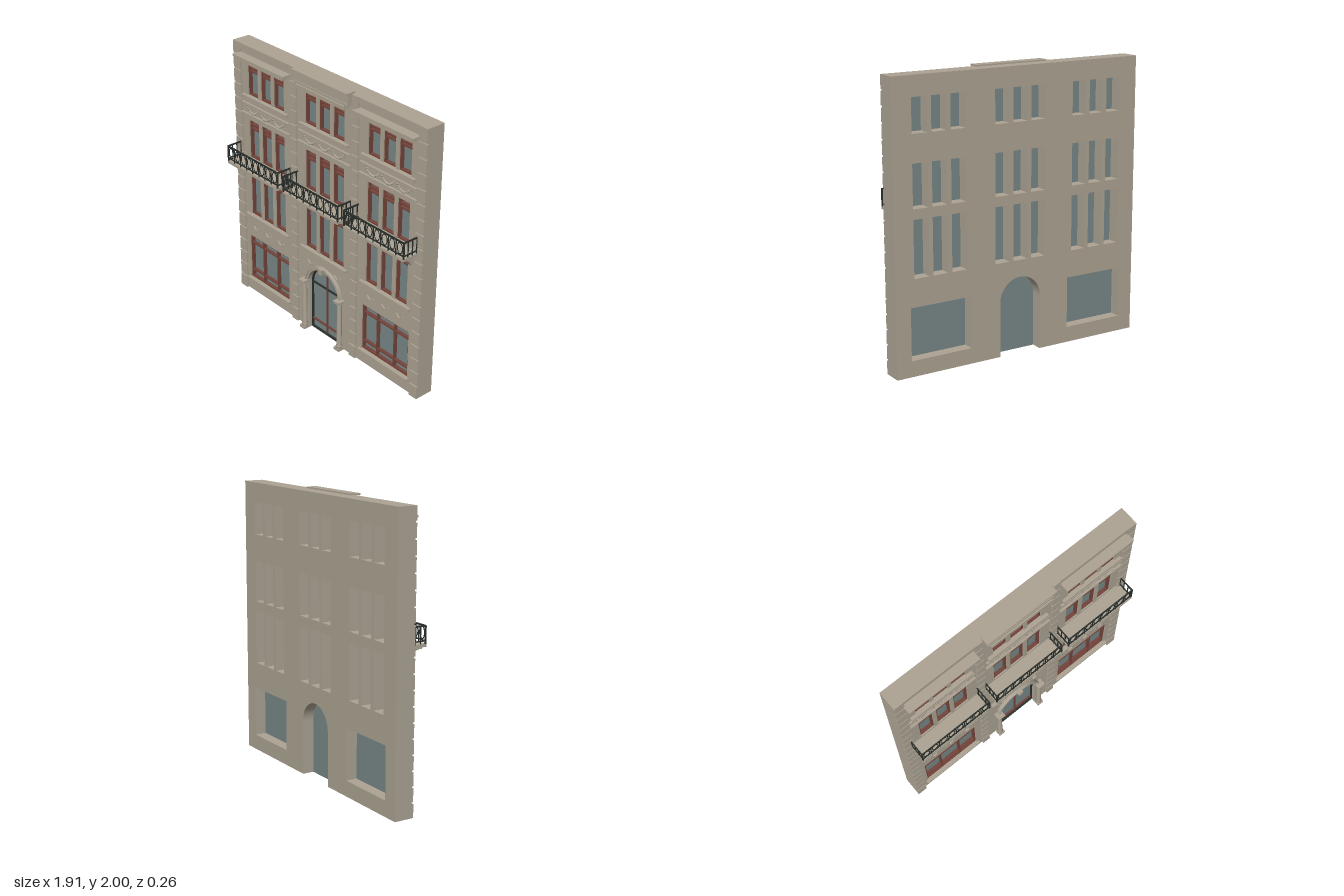
import * as THREE from 'three';

const material = (name, color) => {
  const m = new THREE.MeshStandardMaterial({ color });
  m.name = name;
  return m;
};

export function createModel() {
  const stone = material('stone', 0xaca393);
  const glass = material('glass', 0x788787);
  const wood = material('redBrownFrame', 0x74443a);
  const iron = material('iron', 0x2b302c);
  const FRONT = -0.004, BACK = -0.13;
  const BAYS = [-0.62, 0, 0.62];
  const STEP = 0.142; // spacing of windows, swags and chevrons
  const model = new THREE.Group();
  model.name = 'facade';

  const group = (name, x = 0, parent = model) => {
    const g = new THREE.Group();
    g.name = name;
    g.position.x = x;
    parent.add(g);
    return g;
  };
  const add = (parent, name, geo, mat, x = 0, y = 0, z = 0) => {
    const m = new THREE.Mesh(geo, mat);
    m.name = name;
    m.position.set(x, y, z);
    parent.add(m);
    return m;
  };
  // Box given by its limits on each axis
  const box = (parent, name, mat, x0, x1, y0, y1, z0, z1) =>
    add(parent, name, new THREE.BoxGeometry(x1 - x0, y1 - y0, z1 - z0), mat,
      (x0 + x1) / 2, (y0 + y1) / 2, (z0 + z1) / 2);

  // Every rectangular opening: centre, half width, bottom, top
  const windows = [], shops = [];
  for (const bay of BAYS) {
    for (const [y0, y1] of [[1.618, 1.851], [1.13, 1.427], [0.668, 1.061]])
      for (const i of [-1, 0, 1]) windows.push({ x: bay + i * STEP, w: 0.056, y0, y1 });
    if (bay) shops.push({ x: bay, w: 0.228, y0: 0.111, y1: 0.475 });
  }

  // Wall with an arched doorway cut into its outline
  const R = 0.162, SPRING = 0.386;
  const outline = new THREE.Shape();
  outline.moveTo(-0.957, 0);
  outline.lineTo(-R, 0);
  outline.lineTo(-R, SPRING);
  outline.absarc(0, SPRING, R, Math.PI, 0, true);
  outline.lineTo(R, 0);
  outline.lineTo(0.957, 0);
  outline.lineTo(0.957, 1.99);
  outline.lineTo(-0.957, 1.99);
  for (const { x, w, y0, y1 } of [...windows, ...shops]) {
    outline.holes.push(new THREE.Path([[x - w, y0], [x - w, y1], [x + w, y1], [x + w, y0]]
      .map(p => new THREE.Vector2(...p))));
  }
  add(model, 'wall', new THREE.ExtrudeGeometry(outline,
    { depth: FRONT - BACK, bevelEnabled: false, curveSegments: 24 }), stone, 0, 0, BACK);

  // Glazing with a border and bars
  const glaze = (name, { x, w, y0, y1 }, t, rows, cols) => {
    const g = group(name, x);
    box(g, 'pane', glass, -w, w, y0, y1, -0.047, -0.04);
    const bar = (a, b, c, d) => box(g, 'frameBar', wood, a, b, c, d, -0.04, -0.014);
    bar(-w, -w + t, y0, y1);
    bar(w - t, w, y0, y1);
    bar(-w + t, w - t, y0, y0 + t);
    bar(-w + t, w - t, y1 - t, y1);
    for (const y of rows) bar(-w + t, w - t, y - 0.005, y + 0.005);
    for (const c of cols) bar(c - 0.005, c + 0.005, y0 + t, y1 - t);
  };
  for (const o of windows) {
    const h = o.y1 - o.y0;
    glaze('window', o, 0.01, [o.y1 - 0.13 * h, o.y1 - 0.23 * h], []);
  }
  for (const o of shops) glaze('shopWindow', o, 0.012, [0.41, 0.175], [-0.083, 0.083]);

  // Arched door: glass, bars and thin iron rim
  const door = group('door');
  const archShape = r => {
    const s = new THREE.Shape();
    s.moveTo(-r, 0);
    s.lineTo(r, 0);
    s.lineTo(r, SPRING);
    s.absarc(0, SPRING, r, 0, Math.PI, false);
    return s;
  };
  const extrude = (shape, depth) =>
    new THREE.ExtrudeGeometry(shape, { depth, bevelEnabled: false, curveSegments: 24 });
  add(door, 'doorGlass', extrude(archShape(R), 0.007), glass, 0, 0, -0.047);
  const rim = archShape(R);
  const rimHole = new THREE.Path();
  rimHole.moveTo(-R + 0.008, 0.012);
  rimHole.lineTo(R - 0.008, 0.012);
  rimHole.lineTo(R - 0.008, SPRING);
  rimHole.absarc(0, SPRING, R - 0.008, 0, Math.PI, false);
  rim.holes.push(rimHole);
  add(door, 'doorRim', extrude(rim, 0.015), iron, 0, 0, -0.04);
  box(door, 'transom', iron, -R + 0.008, R - 0.008, 0.383, 0.39, -0.04, -0.025);
  box(door, 'meetingStile', wood, -0.004, 0.004, 0.012, 0.54, -0.04, -0.026);
  box(door, 'kickRail', wood, -R + 0.008, R - 0.008, 0.07, 0.08, -0.04, -0.026);

  // Door surround: round columns, arch moulding and keystone
  const surround = group('doorSurround');
  const columnProfile = [[0, 0.02], [0.024, 0.02], [0.024, 0.032], [0.019, 0.045],
    [0.017, 0.37], [0.021, 0.386], [0, 0.386]].map(p => new THREE.Vector2(...p));
  for (const s of [-1, 1]) {
    const g = group('doorColumn', s * 0.187, surround);
    add(g, 'shaft', new THREE.LatheGeometry(columnProfile, 16), stone, 0, 0, 0.02);
    box(g, 'plinth', stone, -0.025, 0.025, 0, 0.022, FRONT, 0.048);
    box(g, 'capital', stone, -0.025, 0.025, 0.384, 0.396, FRONT, 0.046);
    box(g, 'abacus', stone, -0.029, 0.029, 0.396, 0.41, FRONT, 0.053);
  }
  for (const [r0, r1, z] of [[R, 0.178, 0.014], [0.178, 0.19, 0.022]]) {
    const s = new THREE.Shape();
    s.absarc(0, SPRING, r1, 0, Math.PI, false);
    s.absarc(0, SPRING, r0, Math.PI, 0, true);
    add(surround, 'archMoulding', extrude(s, z - FRONT), stone, 0, 0, FRONT);
  }
  const key = new THREE.Shape([[-0.016, 0.535], [0.016, 0.535], [0.022, 0.578], [-0.022, 0.578]]
    .map(p => new THREE.Vector2(...p)));
  add(surround, 'keystone', extrude(key, 0.04 - FRONT), stone, 0, 0, FRONT);

  // Pilasters of stacked blocks on plain bases
  for (const [x0, x1] of [[-0.957, -0.884], [-0.341, -0.28], [0.28, 0.341], [0.884, 0.957]]) {
    const g = group('pilaster');
    box(g, 'pilasterCore', stone, x0 + 0.003, x1 - 0.003, 0, 1.99, FRONT, 0.001);
    box(g, 'pilasterBase', stone, x0, x1, 0, 0.095, FRONT, 0.012);
    const n = 18, pitch = (1.99 - 0.095) / n;
    for (let i = 0; i < n; i++) {
      const y = 0.095 + i * pitch;
      box(g, 'pilasterBlock', stone, x0, x1, y + 0.012, y + pitch, FRONT, 0.01);
    }
  }

  // Bracket profile, drawn in z and y
  const bracket = new THREE.Shape();
  bracket.moveTo(FRONT, 1.078);
  bracket.lineTo(0.103, 1.078);
  bracket.lineTo(0.1, 1.068);
  bracket.bezierCurveTo(0.06, 1.062, 0.03, 1.045, 0.012, 1.003);
  bracket.lineTo(FRONT, 1.003);
  const bracketGeo = new THREE.ExtrudeGeometry(bracket, { depth: 0.034, bevelEnabled: false, curveSegments: 8 });
  bracketGeo.rotateY(-Math.PI / 2).translate(0.017, 0, 0);

  const bead = new THREE.IcosahedronGeometry(0.008, 1);
  const oval = new THREE.TorusGeometry(0.023, 0.0028, 5, 20).scale(1, 1.75, 1);

  for (const bay of BAYS) {
    const g = group('bay', bay);

    // Sills and string courses
    const band = (name, w, y0, y1, z) => box(g, name, stone, -w, w, y0, y1, FRONT, z);
    band('topSill', 0.245, 1.597, 1.618, 0.02);
    band('upperString', 0.26, 1.549, 1.557, 0.012);
    band('lowerString', 0.265, 1.468, 1.478, 0.014);
    band('middleSill', 0.24, 0.65, 0.668, 0.02);
    if (bay) band('shopSill', 0.245, 0.095, 0.111, 0.02);

    // Cornice, with a raised attic over the middle bay
    band('corniceBed', 0.24, 1.875, 1.903, 0.045);
    if (bay) {
      band('corniceShelf', 0.273, 1.905, 1.92, 0.065);
      band('corniceStep', 0.255, 1.898, 1.907, 0.055);
      band('frieze', 0.277, 1.953, 1.99, 0.008);
    } else {
      band('corniceShelf', 0.262, 1.903, 1.92, 0.035);
      band('atticPanel', 0.265, 1.918, 1.988, 0.03);
      box(g, 'atticCap', stone, -0.275, 0.275, 1.988, 2, -0.025, 0.05);
    }

    // Beaded swags and chevrons
    for (const i of [-1, 0, 1]) {
      const swag = group('swag', i * STEP, g);
      const n = 13;
      for (let k = 0; k <= n; k++) {
        const t = (k / n) * 2 - 1;
        const b = add(swag, 'swagBead', bead, stone, t * 0.066, 1.49 + 0.048 * t * t, 0.003);
        b.scale.setScalar(1.25 - 0.45 * Math.abs(t));
      }
      for (const s of [-1, 1])
        box(swag, 'swagDrop', stone, s * 0.068 - 0.005, s * 0.068 + 0.005, 1.51, 1.548, FRONT, 0.008);
      if (bay || i) for (const s of [-1, 1]) {
        const arm = add(g, 'chevronArm', new THREE.BoxGeometry(0.041, 0.008, 0.012), stone,
          i * STEP + s * 0.017, 0.557, 0);
        arm.rotation.z = s * 0.65;
      }
    }

    // Balcony slab and brackets
    const balcony = group('balcony', bay * 0.008, g);
    const W = 0.285;
    box(balcony, 'slab', stone, -W, W, 1.093, 1.112, FRONT, 0.13);
    box(balcony, 'slabMoulding', stone, -W + 0.025, W - 0.025, 1.077, 1.093, FRONT, 0.113);
    for (const x of [-0.222, 0, 0.222]) add(balcony, 'bracket', bracketGeo, stone, x);

    // Iron railing: rails, bars and ovals
    const rail = group('railing', 0, balcony);
    const E = 0.28, Z = 0.124, t = 0.004;
    const post = (x, z, r) => box(rail, 'bar', iron, x - r, x + r, 1.112, 1.225, z - r, z + r);
    for (const [y0, y1] of [[1.222, 1.232], [1.128, 1.135]]) {
      box(rail, 'frontRail', iron, -E - t, E + t, y0, y1, Z - t, Z + t);
      for (const s of [-1, 1]) box(rail, 'sideRail', iron, s * E - t, s * E + t, y0, y1, FRONT, Z - t);
    }
    const count = 8, pitch = 2 * E / count;
    for (let k = 0; k <= count; k++) {
      const x = -E + k * pitch;
      post(x, Z, k % count ? 0.003 : 0.005);
      if (k < count) add(rail, 'oval', oval, iron, x + pitch / 2, 1.179, Z);
    }
    for (const s of [-1, 1]) for (const z of [0.01, 0.048, 0.086]) post(s * E, z, 0.003);
  }
  return model;
}
